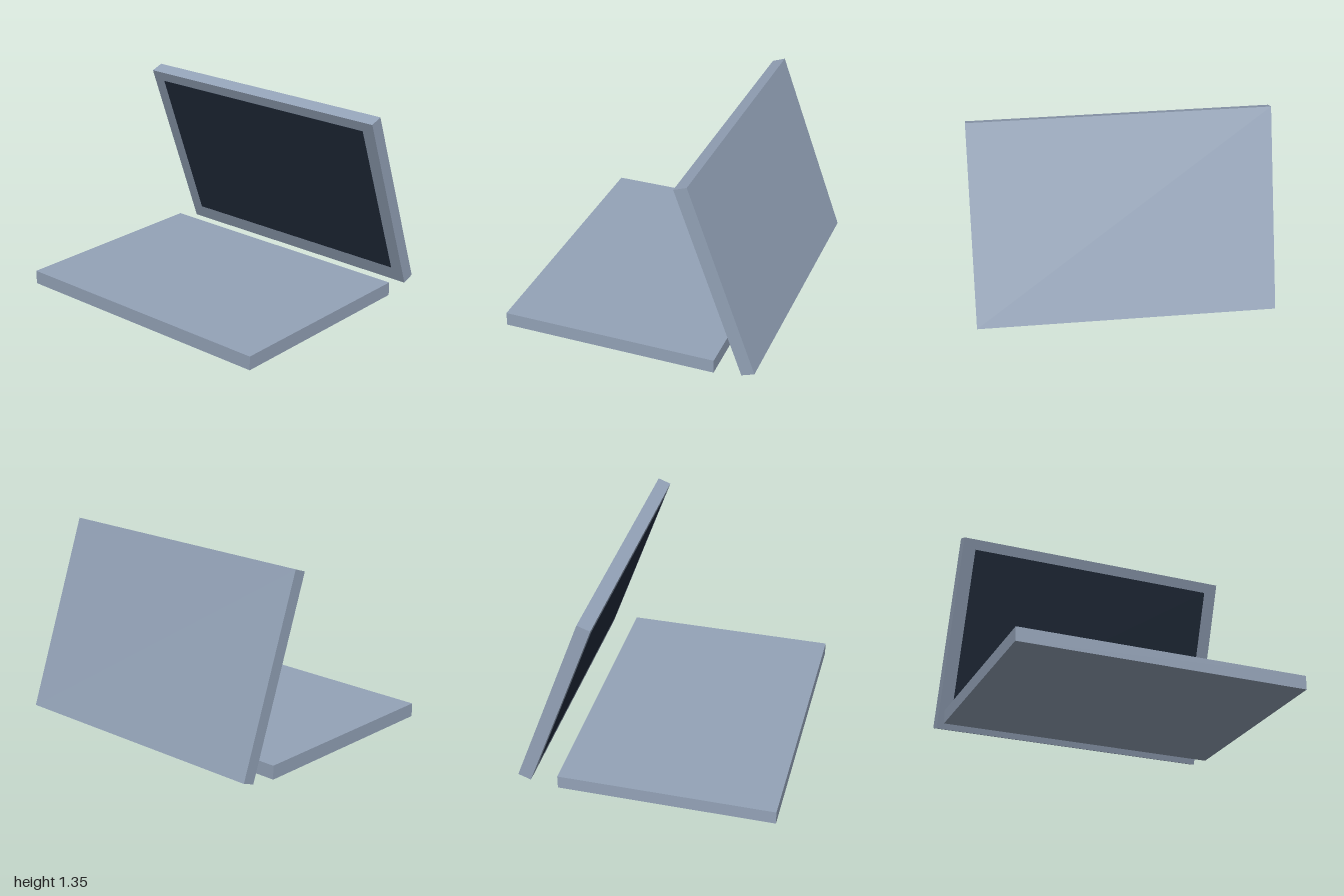
import * as THREE from 'three';

export function createModel() {
  const model = new THREE.Group();
  const shell = new THREE.MeshStandardMaterial({ color: 0x94a3b8 });
  shell.name = 'slate shell';
  const glass = new THREE.MeshStandardMaterial({ color: 0x222d3d });
  glass.name = 'dark screen';

  const addBox = (parent, name, material, size, position) => {
    const mesh = new THREE.Mesh(new THREE.BoxGeometry(...size), material);
    mesh.name = name;
    mesh.position.set(...position);
    parent.add(mesh);
  };

  // Flat base slab
  addBox(model, 'base', shell, [2, 0.096, 1.5], [0, 0.048, 0.14]);

  // Lid stands behind the base and leans forward over it
  const lid = new THREE.Group();
  lid.name = 'lid';
  lid.position.set(0, 0.69, -0.61);
  lid.rotation.x = THREE.MathUtils.degToRad(20);
  model.add(lid);
  addBox(lid, 'lidPanel', shell, [2, 1.37, 0.094], [0, 0, 0]);

  // Thin screen plate, set slightly high on the lid's front
  addBox(lid, 'screen', glass, [1.814, 1.185, 0.005], [0, 0.019, 0.0465]);

  return model;
}
